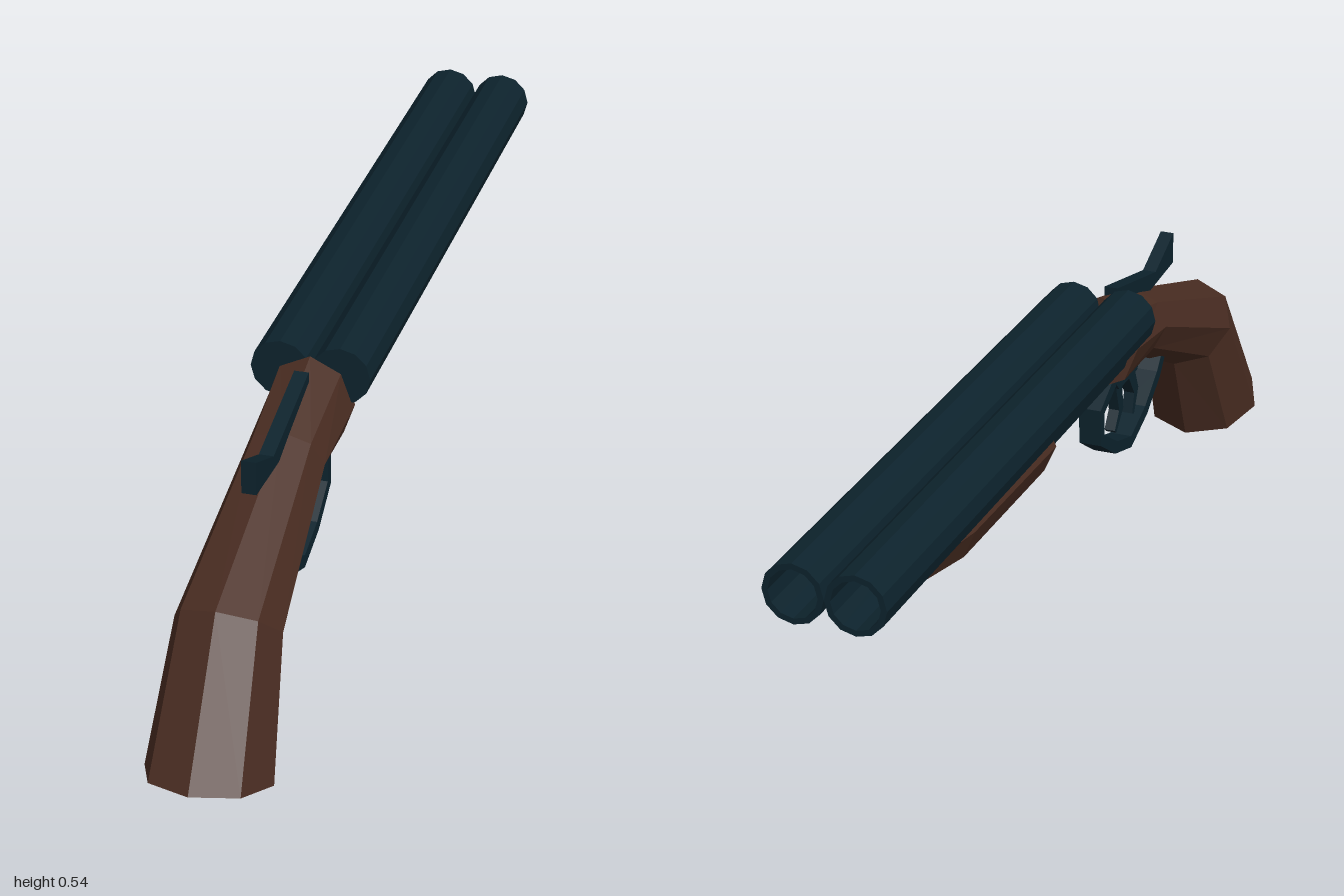
import * as THREE from 'three';

const metal = new THREE.MeshStandardMaterial({ color: 0x0d232d });
metal.name = 'dark blued steel';
const wood = new THREE.MeshStandardMaterial({ color: 0x4a2d22 });
wood.name = 'brown wood';
metal.flatShading = wood.flatShading = true;

function add(group, name, geometry, material) {
  const mesh = new THREE.Mesh(geometry, material);
  mesh.name = name;
  group.add(mesh);
  return mesh;
}

// Capped octagonal loft; each section is given by its top and bottom [z, y] and half width,
// ordered from +z to -z
function loft(sections, sides = 8) {
  const rings = sections.map(({ top, bottom, w }) => {
    const cz = (top[0] + bottom[0]) / 2, cy = (top[1] + bottom[1]) / 2;
    const hz = (top[0] - bottom[0]) / 2, hy = (top[1] - bottom[1]) / 2;
    const ring = [];
    for (let j = 0; j < sides; j++) {
      const a = (j / sides) * Math.PI * 2;
      ring.push([Math.sin(a) * w, cy + Math.cos(a) * hy, cz + Math.cos(a) * hz]);
    }
    ring.centre = [0, cy, cz];
    return ring;
  });
  const pos = [];
  const tri = (a, b, c) => pos.push(...a, ...b, ...c);
  const last = rings[rings.length - 1];
  for (let j = 0; j < sides; j++) {
    const k = (j + 1) % sides;
    for (let i = 0; i < rings.length - 1; i++) {
      const p = rings[i], q = rings[i + 1];
      tri(p[j], p[k], q[j]);
      tri(p[k], q[k], q[j]);
    }
    tri(rings[0].centre, rings[0][k], rings[0][j]);
    tri(last.centre, last[j], last[k]);
  }
  const g = new THREE.BufferGeometry();
  g.setAttribute('position', new THREE.Float32BufferAttribute(pos, 3));
  g.computeVertexNormals();
  return g;
}

// Side outline of [z, y] points extruded across x
function plate(points, width) {
  const shape = new THREE.Shape(points.map(([z, y]) => new THREE.Vector2(z, y)));
  const g = new THREE.ExtrudeGeometry(shape, { depth: width, bevelEnabled: false });
  return g.translate(0, 0, -width / 2).rotateY(-Math.PI / 2);
}

// Bent strip following a [z, y] path, with a thickness at each end
function strip(path, t0, t1, width) {
  const left = [], right = [];
  path.forEach(([z, y], i) => {
    const a = path[Math.max(i - 1, 0)], b = path[Math.min(i + 1, path.length - 1)];
    const dz = b[0] - a[0], dy = b[1] - a[1], len = Math.hypot(dz, dy);
    const t = (t0 + (t1 - t0) * i / (path.length - 1)) / 2;
    left.push([z - dy / len * t, y + dz / len * t]);
    right.unshift([z + dy / len * t, y - dz / len * t]);
  });
  return plate([...left, ...right], width);
}

export function createModel() {
  const model = new THREE.Group();
  model.name = 'doubleBarrelShotgun';

  // Twin barrels with hollow muzzles
  const barrelProfile = [[0, 0], [0.056, 0], [0.056, 1.257], [0.045, 1.257], [0.045, 0.9], [0, 0.9]]
    .map(([r, y]) => new THREE.Vector2(r, y));
  for (const side of [-1, 1]) {
    const g = new THREE.LatheGeometry(barrelProfile, 12).rotateX(-Math.PI / 2);
    add(model, side > 0 ? 'leftBarrel' : 'rightBarrel', g, metal).position.set(side * 0.056, 0.487, 0.257);
  }

  // Rounded receiver beneath the barrels
  const receiver = new THREE.CylinderGeometry(0.065, 0.065, 0.42, 12).rotateX(Math.PI / 2);
  add(model, 'receiver', receiver, metal).position.set(0, 0.42, 0.04);

  // Wooden fore-end, tapering towards the muzzle
  add(model, 'foreEnd', loft([
    { top: [-0.18, 0.485], bottom: [-0.18, 0.335], w: 0.08 },
    { top: [-0.55, 0.485], bottom: [-0.55, 0.335], w: 0.075 },
    { top: [-0.76, 0.465], bottom: [-0.76, 0.375], w: 0.05 },
  ]), wood);

  // Pistol-grip stock, butt to breech
  add(model, 'stock', loft([
    { top: [1.0, 0.07], bottom: [0.77, 0.003], w: 0.116 },
    { top: [0.83, 0.333], bottom: [0.69, 0.197], w: 0.097 },
    { top: [0.44, 0.465], bottom: [0.41, 0.337], w: 0.075 },
    { top: [0.257, 0.52], bottom: [0.235, 0.335], w: 0.081 },
  ]), wood);

  // Opening lever on top of the stock
  add(model, 'topLever', plate([
    [0.633, 0.513], [0.53, 0.468], [0.312, 0.518], [0.312, 0.48], [0.5, 0.44], [0.633, 0.449],
  ], 0.027), metal);

  // Trigger guard loop, trigger plate and two triggers
  add(model, 'triggerGuard', strip([
    [0.56, 0.28], [0.53, 0.245], [0.46, 0.195], [0.375, 0.162], [0.29, 0.187],
    [0.213, 0.236], [0.21, 0.298], [0.28, 0.335],
  ], 0.025, 0.025, 0.045), metal);
  add(model, 'triggerPlate', plate([
    [0.45, 0.345], [0.41, 0.305], [0.31, 0.305], [0.27, 0.345],
  ], 0.04), metal);
  add(model, 'rearTrigger', strip([[0.395, 0.315], [0.432, 0.25], [0.415, 0.205]], 0.035, 0.012, 0.022), metal);
  add(model, 'frontTrigger', strip([[0.33, 0.315], [0.346, 0.245], [0.315, 0.208]], 0.035, 0.012, 0.022), metal);

  return model;
}
